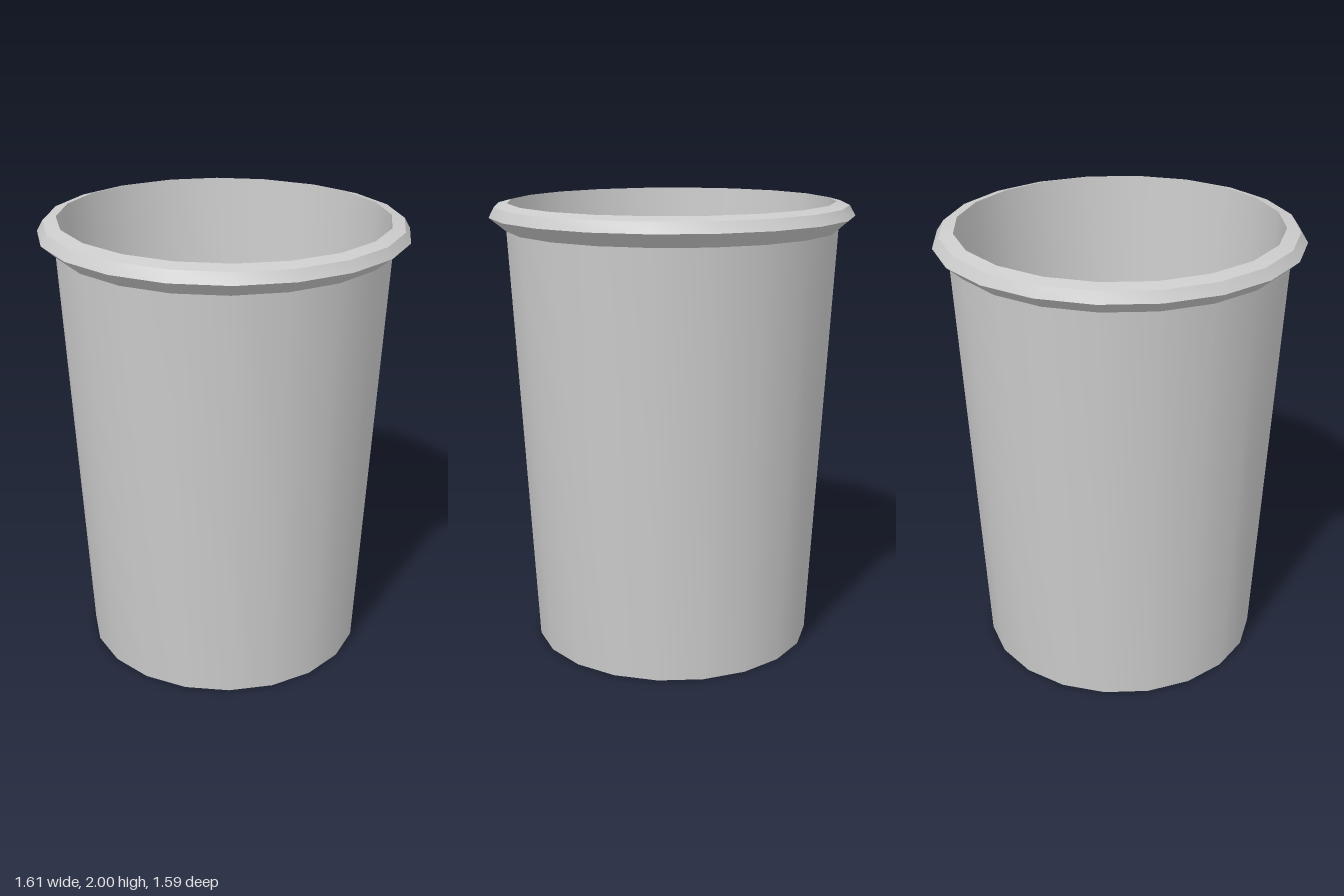
import * as THREE from 'three';
import { mergeVertices, mergeGeometries } from 'three/addons/utils/BufferGeometryUtils.js';

const SIDES = 20;
const material = new THREE.MeshStandardMaterial({ color: 0xcccccc });

// Smooth ring between two levels, each given as [radiusX, radiusZ, y]
function band(from, to) {
  const lathe = new THREE.LatheGeometry([new THREE.Vector2(1, 0), new THREE.Vector2(1, 1)], SIDES);
  const pos = lathe.attributes.position;
  for (let i = 0; i < pos.count; i++) {
    const [rx, rz, y] = pos.getY(i) < 0.5 ? from : to;
    pos.setXYZ(i, pos.getX(i) * rx, y, pos.getZ(i) * rz);
  }
  lathe.deleteAttribute('uv');
  lathe.deleteAttribute('normal');
  const geometry = mergeVertices(lathe);
  geometry.computeVertexNormals();
  return geometry;
}

// Flat disc at a level, facing up or down
function disc([rx, rz, y], up) {
  return new THREE.CircleGeometry(1, SIDES)
    .rotateX(up ? -Math.PI / 2 : Math.PI / 2)
    .scale(rx, 1, rz)
    .translate(0, y, 0);
}

export function createModel() {
  const group = new THREE.Group();
  const add = (name, geometry) => {
    const mesh = new THREE.Mesh(geometry, material);
    mesh.name = name;
    group.add(mesh);
  };

  // Cross-section levels, from the base up over the rim and down inside
  const base = [0.63, 0.63, 0];
  const neck = [0.73, 0.73, 1.88];
  const lipEdge = [0.805, 0.795, 1.94];
  const lipTop = [0.782, 0.764, 1.985];
  const mouth = [0.726, 0.704, 2];
  const floor = [0.618, 0.598, 0.02];

  add('base', disc(base, false));
  add('outerWall', band(base, neck));
  add('rim', mergeGeometries([band(neck, lipEdge), band(lipEdge, lipTop), band(lipTop, mouth)]));
  add('innerWall', band(mouth, floor));
  add('innerFloor', disc(floor, true));
  return group;
}
